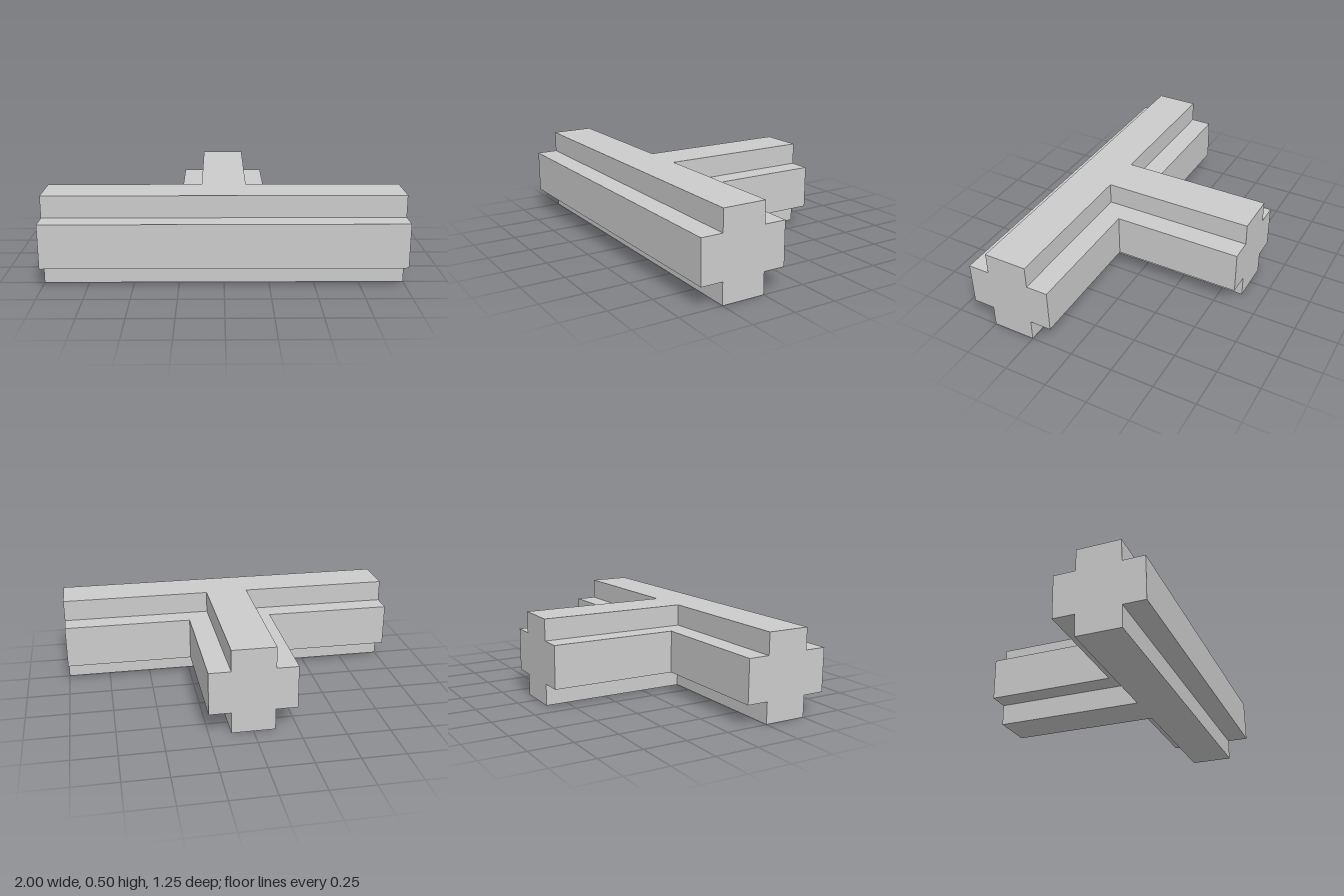
import * as THREE from 'three';

const AXIS = -0.375; // centre line of the crossbar, as -z

// T-shaped plan whose arms are 2 * h wide
function teePlan(h) {
  const front = AXIS - h, back = AXIS + h, end = 0.625;
  return new THREE.Shape([
    [-1, front], [1, front], [1, back], [h, back],
    [h, end], [-h, end], [-h, back], [-1, back],
  ].map(([x, y]) => new THREE.Vector2(x, y)));
}

export function createModel() {
  const group = new THREE.Group();
  group.name = 'teeJunction';
  const material = new THREE.MeshStandardMaterial({ color: 0xcccccc, flatShading: true });

  // Stacked layers give every arm its plus-shaped section
  const layers = [
    ['lowerRib', 0.125, 0, 0.125],
    ['wideCore', 0.25, 0.125, 0.25],
    ['upperRib', 0.125, 0.375, 0.125],
  ];
  for (const [name, halfWidth, y, height] of layers) {
    const geometry = new THREE.ExtrudeGeometry(teePlan(halfWidth), { depth: height, bevelEnabled: false });
    geometry.rotateX(-Math.PI / 2);
    const mesh = new THREE.Mesh(geometry, material);
    mesh.name = name;
    mesh.position.y = y;
    group.add(mesh);
  }
  return group;
}
